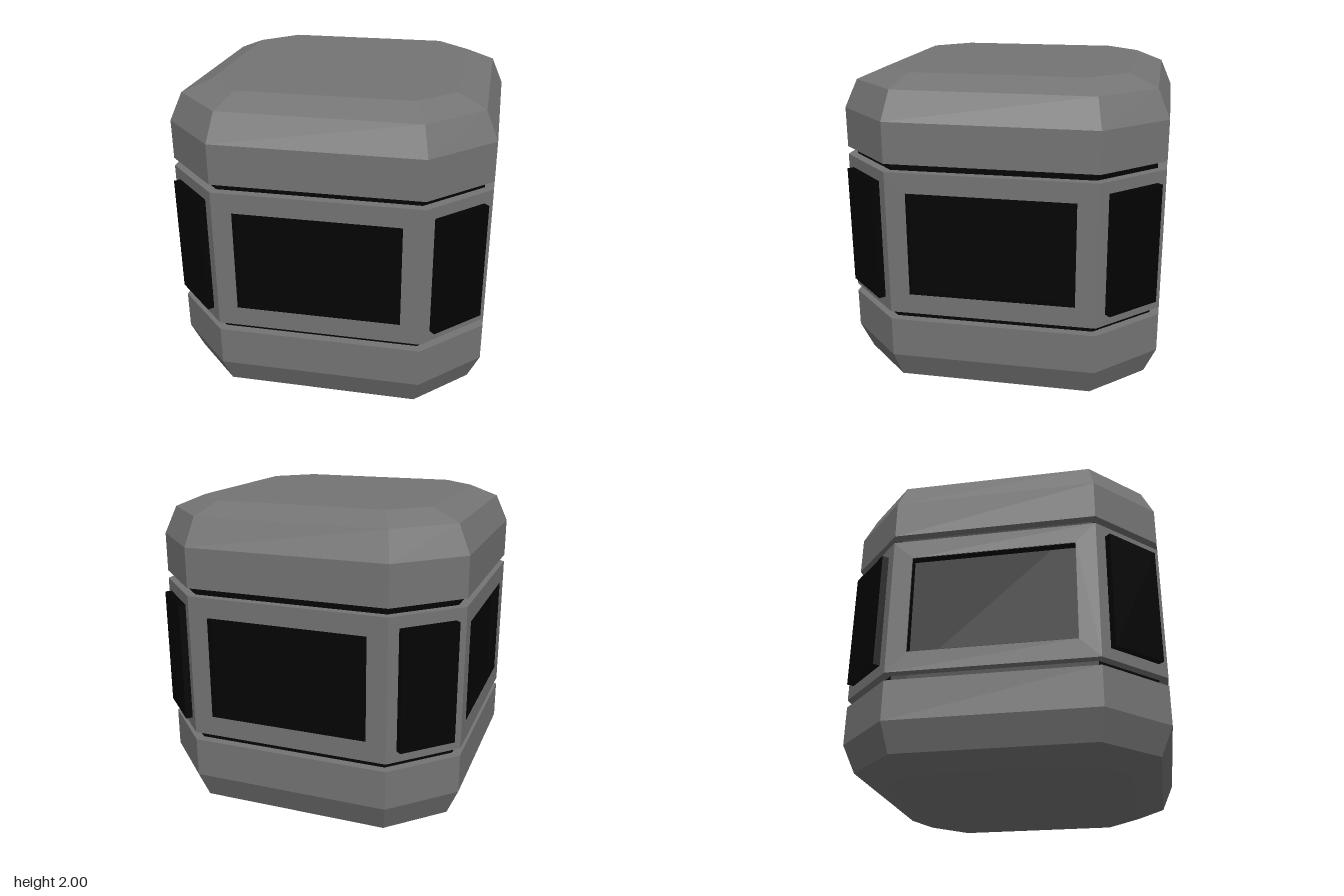
import * as THREE from 'three';

const HALF = 1, CORNER = 0.635;                       // octagon half width and corner offset
const DIAG = (HALF + CORNER) / Math.SQRT2;            // distance to the diagonal faces
const DEPTH = 0.055;                                  // depth of grooves and window recesses

const grey = new THREE.MeshStandardMaterial({ color: 0x747474, flatShading: true });
const black = new THREE.MeshStandardMaterial({ color: 0x030303, flatShading: true });

// Corners of the octagon, with every side moved inwards by the same inset
function octagon(y, inset) {
  const h = HALF - inset, c = (DIAG - inset) * Math.SQRT2 - h;
  return [[h, -c], [h, c], [c, h], [-c, h], [-h, c], [-h, -c], [-c, -h], [c, -h]]
    .map(([x, z]) => [x, y, z]);
}

// Closed solid through octagonal rings given as [y, inset] from bottom to top
function octagonSolid(name, levels, material) {
  const rings = levels.map(([y, inset]) => octagon(y, inset));
  const last = rings.length - 1, pos = [];
  const tri = (...corners) => corners.forEach((p) => pos.push(...p));
  for (let k = 0; k < 8; k++) {
    const n = (k + 1) % 8;
    for (let i = 0; i < last; i++) {
      const a = rings[i][k], b = rings[i][n], c = rings[i + 1][k], d = rings[i + 1][n];
      tri(a, c, b);
      tri(b, c, d);
    }
    tri([0, levels[0][0], 0], rings[0][k], rings[0][n]);
    tri([0, levels[last][0], 0], rings[last][n], rings[last][k]);
  }
  const geometry = new THREE.BufferGeometry();
  geometry.setAttribute('position', new THREE.Float32BufferAttribute(pos, 3));
  geometry.computeVertexNormals();
  const mesh = new THREE.Mesh(geometry, material);
  mesh.name = name;
  return mesh;
}

const rectangle = (Type, w, h) => new Type([
  new THREE.Vector2(-w / 2, -h / 2), new THREE.Vector2(w / 2, -h / 2),
  new THREE.Vector2(w / 2, h / 2), new THREE.Vector2(-w / 2, h / 2),
]);

// Rectangular plate with a rectangular opening, front at z = front
function frame(name, w, h, holeW, holeH, depth, front, material) {
  const shape = rectangle(THREE.Shape, w, h);
  shape.holes.push(rectangle(THREE.Path, holeW, holeH));
  const geometry = new THREE.ExtrudeGeometry(shape, { depth, bevelEnabled: false });
  geometry.translate(0, 0, front - depth);
  const mesh = new THREE.Mesh(geometry, material);
  mesh.position.y = 1;
  mesh.name = name;
  return mesh;
}

function box(name, w, h, d, z, material) {
  const mesh = new THREE.Mesh(new THREE.BoxGeometry(w, h, d), material);
  mesh.position.set(0, 1, z);
  mesh.name = name;
  return mesh;
}

export function createModel() {
  const model = new THREE.Group();
  model.name = 'octagonalCrate';

  // Chamfered end caps and the dark core seen in the grooves and windows
  const cap = [[0, 0.25], [0.075, 0.075], [0.25, 0], [0.5, 0]];
  model.add(octagonSolid('lowerCap', cap, grey));
  model.add(octagonSolid('upperCap', cap.map(([y, i]) => [2 - y, i]).reverse(), grey));
  model.add(octagonSolid('core', [[0.45, DEPTH], [1.55, DEPTH]], black));

  const bandH = 0.9, plateD = DEPTH + 0.01;
  const cornerW = (HALF - CORNER) * Math.SQRT2;
  for (let i = 0; i < 4; i++) {
    // Flat side: plate with a recessed dark window
    const side = new THREE.Group();
    side.name = 'sidePanel';
    side.add(frame('windowFrame', CORNER * 2, bandH, 1.02, 0.65, plateD, HALF, grey));
    side.add(frame('windowLiner', 1.024, 0.654, 1.014, 0.644, DEPTH, HALF - 0.002, black));
    side.rotation.y = i * Math.PI / 2;
    model.add(side);

    // Diagonal side: plate with a raised dark pad
    const corner = new THREE.Group();
    corner.name = 'cornerPanel';
    corner.add(box('cornerPlate', cornerW, bandH, plateD, DIAG - plateD / 2, grey));
    corner.add(box('cornerPad', 0.374, 0.755, 0.063, DIAG + 0.0115, black));
    corner.rotation.y = (i + 0.5) * Math.PI / 2;
    model.add(corner);
  }
  return model;
}
